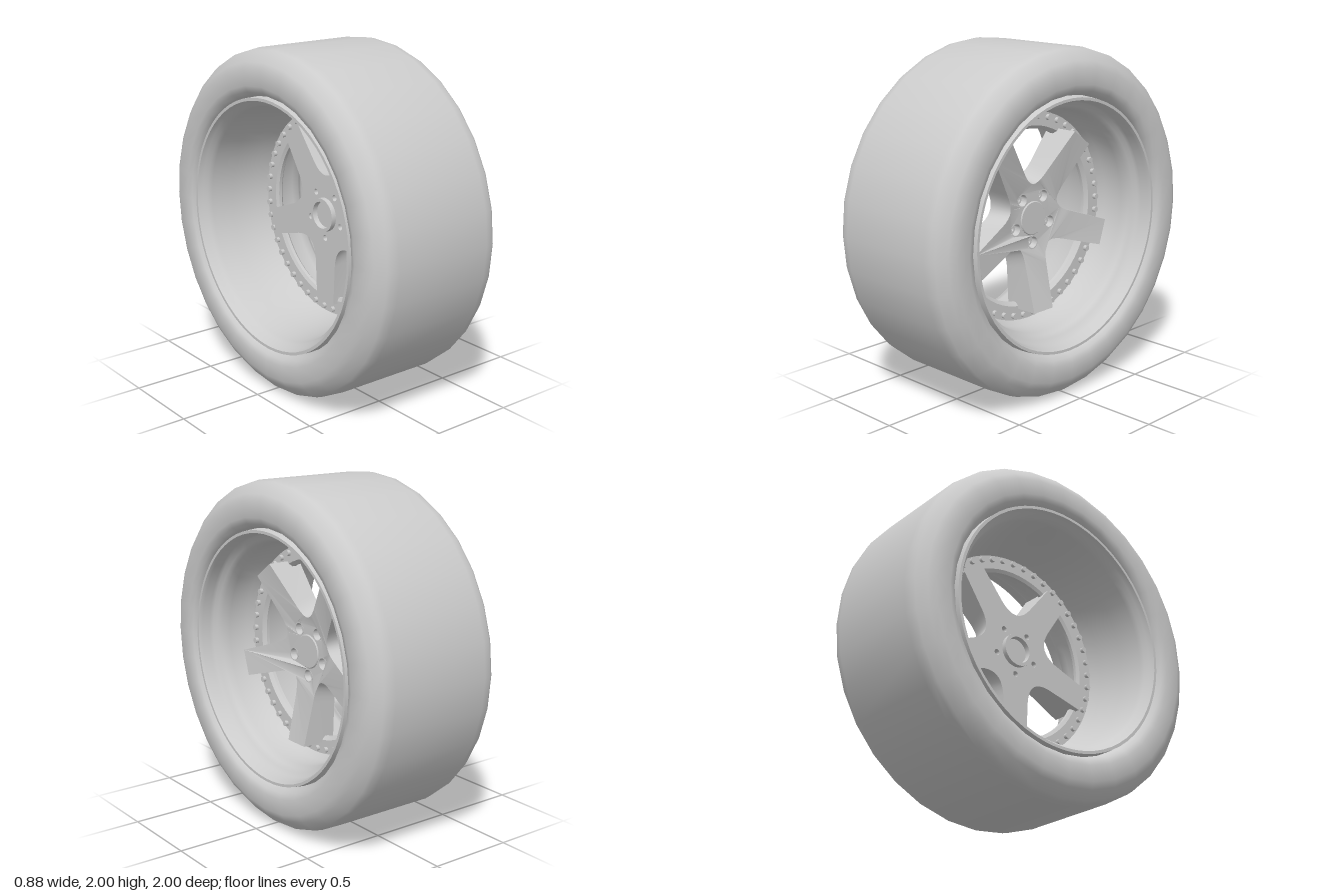
import * as THREE from 'three';
import { toCreasedNormals } from 'three/addons/utils/BufferGeometryUtils.js';

const SPOKES = 5, RING_BOLTS = 45;
const material = new THREE.MeshStandardMaterial({ color: 0xcccccc });
const sheet = new THREE.MeshStandardMaterial({ color: 0xcccccc, side: THREE.DoubleSide });

// Turned part: profile of [radius, depth], spun about the z axis
function turned(name, profile, segments, crease = 0.6) {
  const points = profile.map(([r, z]) => new THREE.Vector2(r, z));
  const geometry = new THREE.LatheGeometry(points, segments).rotateX(Math.PI / 2);
  const mesh = new THREE.Mesh(toCreasedNormals(geometry, crease), sheet);
  mesh.name = name;
  return mesh;
}

const spokeAngle = (i) => -Math.PI / 2 + (i * 2 * Math.PI) / SPOKES;

// Point in a spoke's own frame: u outwards, v across
function spokePoint(angle, u, v) {
  const c = Math.cos(angle), s = Math.sin(angle);
  return [u * c - v * s, u * s + v * c];
}

// Five-spoke centre, cut from a star outline and dished towards the hub
function spokeStar() {
  const star = new THREE.Shape();
  for (let i = 0; i < SPOKES; i++) {
    const a = spokeAngle(i), valley = a + Math.PI / SPOKES;
    if (i === 0) star.moveTo(...spokePoint(a, 0.3, -0.09));
    star.lineTo(...spokePoint(a, 0.54, -0.078));
    star.lineTo(...spokePoint(a, 0.54, 0.078));
    star.lineTo(...spokePoint(a, 0.3, 0.09));
    star.quadraticCurveTo(
      ...spokePoint(valley, 0.174, 0),
      ...spokePoint(spokeAngle(i + 1), 0.3, -0.09));
    const hole = new THREE.Path();
    hole.absarc(...spokePoint(a, 0.145, 0), 0.04, 0, Math.PI * 2, true);
    star.holes.push(hole);
  }
  const geometry = new THREE.ExtrudeGeometry(star, { depth: 0.12, bevelEnabled: false, curveSegments: 10 });
  const p = geometry.attributes.position;
  for (let i = 0; i < p.count; i++) {
    if (p.getZ(i) < 0.06) continue;
    const r = Math.hypot(p.getX(i), p.getY(i));
    // Front face rises towards the tips and draws in around the hub
    p.setZ(i, 0.12 + 0.09 * THREE.MathUtils.clamp((r - 0.2) / 0.34, 0, 1));
    if (r > 0.2) {
      const k = 1 - (0.04 * Math.max(0, 1 - (r - 0.2) / 0.2)) / r;
      p.setXY(i, p.getX(i) * k, p.getY(i) * k);
    }
  }
  const mesh = new THREE.Mesh(toCreasedNormals(geometry, 0.5), material);
  mesh.name = 'spokes';
  return mesh;
}

export function createModel() {
  const model = new THREE.Group();
  model.name = 'wheel';
  // Everything is built facing +z, then turned so the outer face looks along +x
  const wheel = new THREE.Group();
  wheel.name = 'wheelAssembly';
  wheel.rotation.y = Math.PI / 2;
  wheel.position.y = 1;
  model.add(wheel);

  // Tyre: one half profile, mirrored
  const half = [[0.735, 0.36], [0.745, 0.4], [0.765, 0.428], [0.8, 0.44], [0.89, 0.44],
    [0.93, 0.42], [0.98, 0.375], [0.992, 0.355], [1, 0.31]];
  const back = half.map(([r, z]) => [r, -z]);
  wheel.add(turned('tyre', [...back, ...[...half].reverse(), back[0]], 32, 0.9));

  // Stepped outer lip and plain inner barrel of the rim
  wheel.add(turned('rimLip', [[0.61, 0.06], [0.615, 0.09], [0.637, 0.12], [0.645, 0.24], [0.652, 0.29],
    [0.67, 0.315], [0.692, 0.33], [0.7, 0.35], [0.702, 0.4], [0.712, 0.42], [0.728, 0.42], [0.735, 0.36]], 64));
  wheel.add(turned('rimBarrel', [[0.735, -0.34], [0.732, -0.42], [0.715, -0.42], [0.702, -0.39],
    [0.682, -0.37], [0.675, -0.34], [0.66, -0.2], [0.635, -0.04], [0.61, 0.04]], 64));
  wheel.add(turned('boltRing', [[0.51, 0.04], [0.53, 0.03], [0.615, 0.03], [0.615, 0.08], [0.53, 0.08],
    [0.51, 0.06], [0.51, 0.04]], 64, 0.4));

  // Small bolts, showing on both sides of the ring
  const boltGeometry = new THREE.CylinderGeometry(0.017, 0.017, 0.09, 8).rotateX(Math.PI / 2);
  const bolts = new THREE.Group();
  bolts.name = 'ringBolts';
  for (let i = 0; i < RING_BOLTS; i++) {
    const a = Math.PI / 2 + (i * 2 * Math.PI) / RING_BOLTS;
    const bolt = new THREE.Mesh(boltGeometry, material);
    bolt.name = 'ringBolt';
    bolt.position.set(0.585 * Math.cos(a), 0.585 * Math.sin(a), 0.055);
    bolts.add(bolt);
  }
  wheel.add(bolts);

  wheel.add(spokeStar());

  // Lug seats: a countersink narrowing to a through hole
  for (let i = 0; i < SPOKES; i++) {
    const seat = turned('lugSeat', [[0.018, 0], [0.018, 0.085], [0.03, 0.085], [0.034, 0.122], [0.041, 0.122]], 20);
    const [x, y] = spokePoint(spokeAngle(i), 0.145, 0);
    seat.position.set(x, y, 0);
    const backing = new THREE.Mesh(new THREE.RingGeometry(0.018, 0.041, 20), sheet);
    backing.name = 'lugSeatBack';
    seat.add(backing);
    wheel.add(seat);
  }

  // Centre cap in front, hub boss behind
  wheel.add(turned('centreCap', [[0.1, 0.11], [0.1, 0.122], [0.095, 0.127], [0, 0.127]], 32));
  wheel.add(turned('hubBoss', [[0, 0.01], [0.075, 0.01], [0.08, -0.03], [0.1, -0.03], [0.1, 0.02]], 32));
  return model;
}
